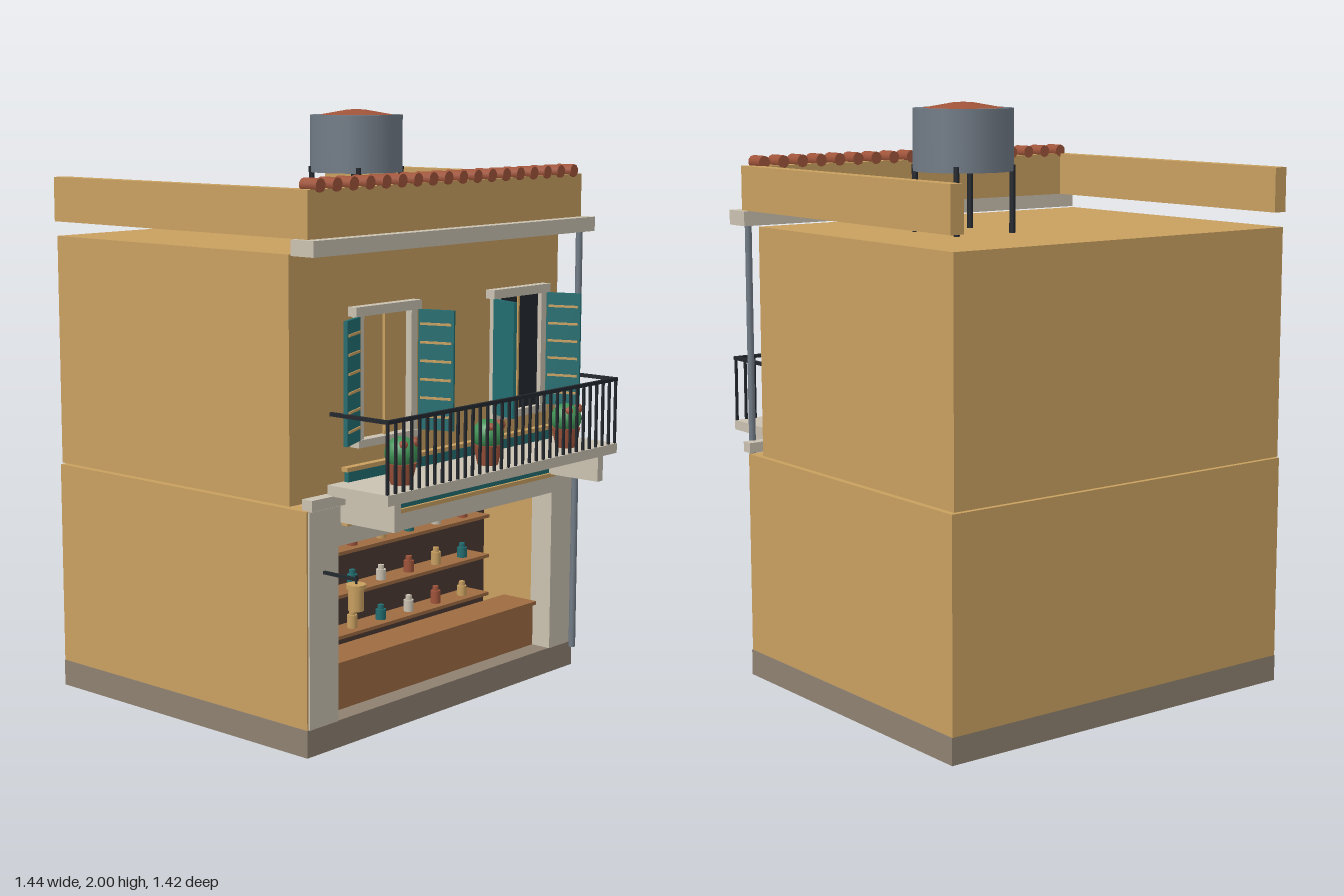
import * as THREE from 'three';

const mat = (name, color) => {
  const m = new THREE.MeshStandardMaterial({ color });
  m.name = name;
  return m;
};

export function createModel() {
  const root = new THREE.Group();
  root.name = 'shopHouse';
  const ochre = mat('ochrePlaster', 0xc9a060), stone = mat('paleStone', 0xcac1b0);
  const teal = mat('tealPaint', 0x226d70), terra = mat('terracotta', 0xa0543a);
  const green = mat('leafGreen', 0x3f9155), dark = mat('darkIron', 0x23282e);
  const brown = mat('darkBrown', 0x4c3934), wood = mat('counterWood', 0x9e6c42);
  const slate = mat('slateMetal', 0x717b86), taupe = mat('plinthTaupe', 0x8f8171);

  const add = (name, geo, m, x = 0, y = 0, z = 0, parent = root) => {
    const mesh = new THREE.Mesh(geo, m);
    mesh.name = name;
    mesh.position.set(x, y, z);
    parent.add(mesh);
    return mesh;
  };
  // box given by its limits on each axis
  const box = (name, m, x0, x1, y0, y1, z0, z1, parent = root) =>
    add(name, new THREE.BoxGeometry(x1 - x0, y1 - y0, z1 - z0), m,
      (x0 + x1) / 2, (y0 + y1) / 2, (z0 + z1) / 2, parent);
  // upright cylinder given by its lower and upper height
  const cyl = (name, m, rTop, rBottom, y0, y1, x, z, sides = 12, parent = root) =>
    add(name, new THREE.CylinderGeometry(rTop, rBottom, y1 - y0, sides), m, x, (y0 + y1) / 2, z, parent);

  // main volumes
  box('plinth', taupe, -0.7, 0.7, 0, 0.09, -0.71, 0.462);
  box('lowerBlock', ochre, -0.698, 0.698, 0.09, 0.79, -0.71, 0.08);
  box('upperBlock', ochre, -0.69, 0.69, 0.795, 1.58, -0.71, 0.38);

  // shop front surround
  for (const s of [-1, 1]) {
    const side = (name, m, a, b, ...r) => box(name, m, Math.min(s * a, s * b), Math.max(s * a, s * b), ...r);
    side('shopSideWall', ochre, 0.64, 0.698, 0.09, 0.79, 0.08, 0.46);
    side('shopPillar', stone, 0.56, 0.692, 0.09, 0.66, 0.38, 0.466);
    side('balconyCorbel', stone, 0.52, 0.55, 0.735, 0.83, 0.46, 0.69);
    side('sideParapet', ochre, 0.65, 0.7, 1.63, 1.78, -0.71, 0.41);
    side('sideHandrail', dark, 0.592, 0.604, 1.08, 1.092, 0.47, 0.705);
  }
  box('shopFrieze', stone, -0.692, 0.692, 0.66, 0.788, 0.37, 0.466);
  box('shopCeiling', ochre, -0.64, 0.64, 0.765, 0.787, 0.08, 0.37);
  box('floorLedge', stone, -0.702, 0.702, 0.795, 0.83, 0.445, 0.487);

  // shop interior
  box('shopBackPanel', brown, -0.64, 0.64, 0.09, 0.765, 0.08, 0.1);
  box('counter', wood, -0.56, 0.56, 0.09, 0.24, 0.27, 0.39);
  box('counterTop', wood, -0.56, 0.56, 0.24, 0.253, 0.26, 0.405);
  const jarColours = [teal, stone, terra, ochre];
  [[0.545, 0], [0.397, 2], [0.255, 1]].forEach(([y, shift]) => {
    box('shelf', wood, -0.545, 0.545, y - 0.012, y, 0.1, 0.2);
    for (let i = 0; i < 7; i++) {
      const m = jarColours[(i + shift) % 4], x = -0.447 + i * 0.1485, h = 0.036 + (i % 3) * 0.005;
      cyl('jarBody', m, 0.018, 0.018, y, y + h, x, 0.155, 10);
      cyl('jarNeck', m, 0.011, 0.011, y + h, y + h + 0.016, x, 0.155, 10);
    }
  });

  // sign board with trim strips
  box('signBoard', teal, -0.53, 0.53, 0.735, 0.9, 0.466, 0.482);
  for (const y of [0.725, 0.897]) box('signTrim', ochre, -0.545, 0.545, y, y + 0.014, 0.466, 0.492);

  // balcony
  box('balconySlab', stone, -0.603, 0.603, 0.828, 0.862, 0.46, 0.71);
  box('frontHandrail', dark, -0.604, 0.604, 1.08, 1.092, 0.697, 0.709);
  for (let i = 0; i < 33; i++) {
    const x = -0.598 + i * 1.196 / 32;
    box('baluster', dark, x - 0.004, x + 0.004, 0.862, 1.08, 0.699, 0.707);
  }

  // flower pots
  for (const x of [-0.435, 0, 0.43]) {
    cyl('flowerPot', terra, 0.05, 0.034, 0.862, 0.93, x, 0.617, 12);
    add('bush', new THREE.SphereGeometry(0.053, 14, 10), green, x, 0.96, 0.617);
    add('flower', new THREE.SphereGeometry(0.018, 8, 6), terra, x + 0.028, 0.993, 0.645);
    add('flower', new THREE.SphereGeometry(0.015, 8, 6), terra, x - 0.022, 0.99, 0.645);
  }

  // windows, the second one glazed
  [-0.345, 0.345].forEach((cx, i) => {
    box('windowLintel', stone, cx - 0.157, cx + 0.157, 1.38, 1.41, 0.455, 0.49);
    box('windowSill', stone, cx - 0.145, cx + 0.145, 0.965, 0.99, 0.455, 0.49);
    for (const s of [-1, 1]) box('windowJamb', stone, cx + s * 0.128 - 0.014, cx + s * 0.128 + 0.014, 0.99, 1.38, 0.46, 0.484);
    if (i) box('windowPane', dark, cx - 0.114, cx + 0.114, 0.99, 1.38, 0.462, 0.468);
    box('windowMullion', ochre, cx - 0.004, cx + 0.004, 0.99, 1.38, 0.464, 0.474);
  });

  // open shutters; each panel runs along its own x from the hinge
  const shutter = (hx, dx, dz, inner) => {
    const g = new THREE.Group();
    g.name = 'shutter';
    g.position.set(hx, 0, 0.486);
    g.rotation.y = -Math.atan2(dz, dx);
    root.add(g);
    box('shutterPanel', teal, 0, 0.122, 0.99, 1.38, -0.006, 0.006, g);
    for (let i = 0; i < 6; i++) {
      const y = 1.03 + i * 0.06;
      box('shutterSlat', ochre, 0.008, 0.114, y, y + 0.008, inner * 0.008 - 0.002, inner * 0.008 + 0.002, g);
    }
  };
  shutter(-0.487, -0.11, 0.046, -1);
  shutter(-0.197, 0.038, 0.115, 1);
  shutter(0.197, -0.038, 0.115, -1);
  shutter(0.488, 0.038, 0.115, 1);

  // cornice, front parapet and roof tiles
  box('cornice', stone, -0.722, 0.722, 1.58, 1.63, 0.42, 0.515);
  box('frontParapet', ochre, -0.7, 0.7, 1.63, 1.78, 0.41, 0.47);
  for (let i = 0; i < 18; i++) {
    const tile = add('roofTile', new THREE.CylinderGeometry(0.022, 0.022, 0.07, 10), terra, -0.65 + i * 0.0762, 1.792, 0.443);
    tile.rotation.x = Math.PI / 2;
  }

  // downspout
  cyl('downspout', slate, 0.012, 0.012, 0.08, 1.58, 0.665, 0.49, 10);

  // wall lantern
  box('lanternArm', dark, -0.63, -0.62, 0.583, 0.593, 0.466, 0.605);
  box('lanternHook', dark, -0.628, -0.622, 0.57, 0.6, 0.597, 0.603);
  cyl('lanternBody', ochre, 0.025, 0.025, 0.49, 0.56, -0.625, 0.6, 10);
  cyl('lanternCap', ochre, 0.032, 0.032, 0.56, 0.574, -0.625, 0.6, 10);

  // water tank on four legs
  const tx = 0.27, tz = -0.205;
  cyl('waterTank', slate, 0.165, 0.165, 1.78, 1.982, tx, tz, 18);
  cyl('tankLid', terra, 0.03, 0.132, 1.982, 2, tx, tz, 18);
  for (const sx of [-1, 1]) for (const sz of [-1, 1])
    cyl('tankLeg', dark, 0.01, 0.01, 1.58, 1.8, tx + sx * 0.113, tz + sz * 0.113, 8);

  return root;
}
